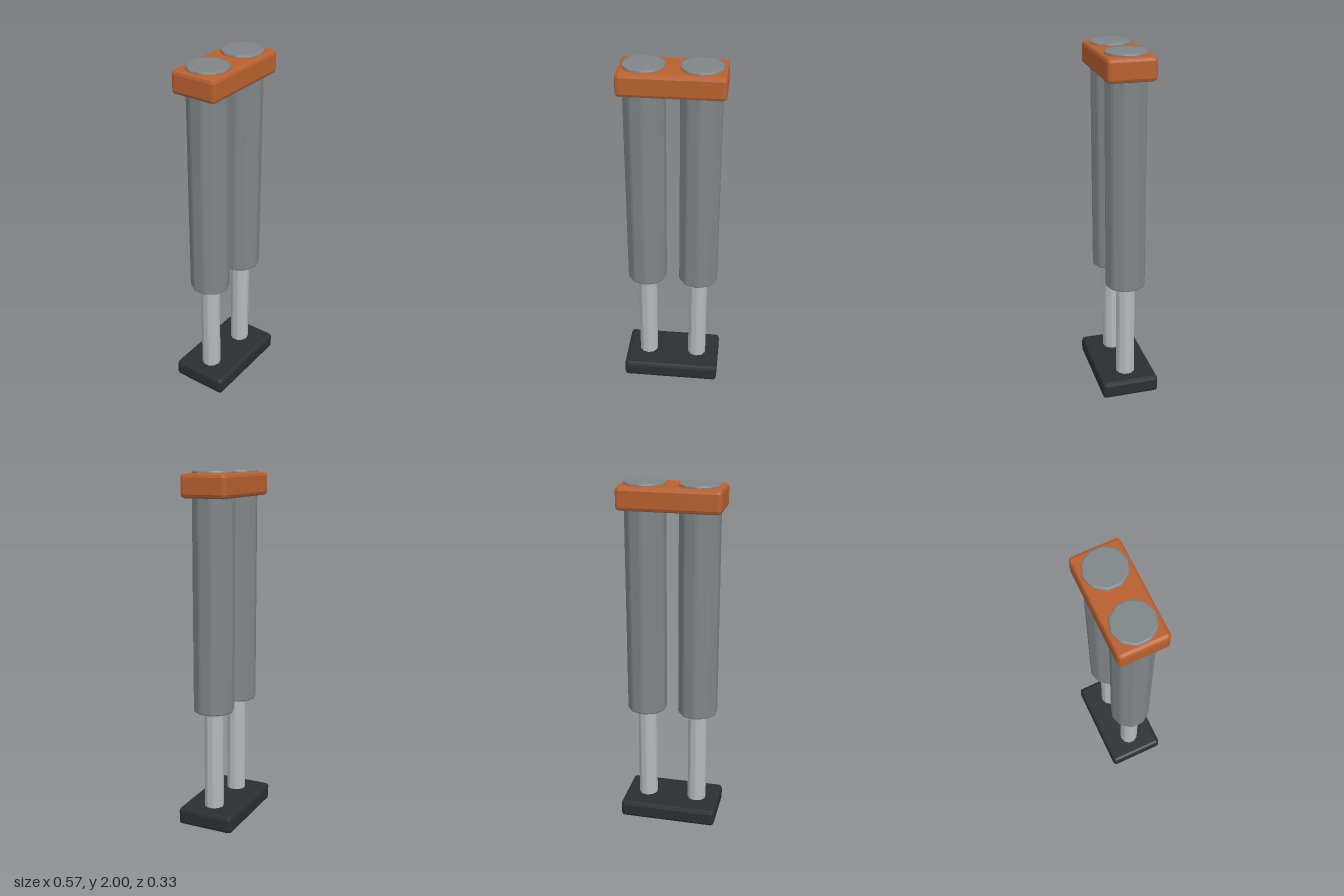
import * as THREE from 'three';
import { RoundedBoxGeometry } from 'three/addons/geometries/RoundedBoxGeometry.js';

const material = (color) => {
  const m = new THREE.MeshStandardMaterial({ color });
  m.flatShading = true;
  return m;
};

// Ten-sided post with chamfered vertical edges and rounded rims
function post(name, radius, bottom, top, chamfer, rim, mat) {
  const sides = 10;
  const corners = [];
  for (let i = 0; i < sides; i++) {
    const a = Math.PI / 2 + (i / sides) * Math.PI * 2;
    corners.push(new THREE.Vector2(Math.cos(a), Math.sin(a)).multiplyScalar(radius));
  }
  const points = corners.flatMap((c, i) => {
    const previous = corners[(i + sides - 1) % sides];
    const next = corners[(i + 1) % sides];
    const t = chamfer / c.distanceTo(next);
    return [c.clone().lerp(previous, t), c.clone().lerp(next, t)];
  });
  const geometry = new THREE.ExtrudeGeometry(new THREE.Shape(points), {
    depth: top - bottom - 2 * rim,
    bevelThickness: rim,
    bevelSize: rim,
    bevelOffset: -rim,
    bevelSegments: 2,
  });
  geometry.rotateX(-Math.PI / 2).translate(0, bottom + rim, 0);
  const mesh = new THREE.Mesh(geometry, mat);
  mesh.name = name;
  return mesh;
}

// Block with softly bevelled edges, placed by its bottom and top heights
function block(name, width, depth, bottom, top, mat) {
  const mesh = new THREE.Mesh(new RoundedBoxGeometry(width, top - bottom, depth, 1, 0.02), mat);
  mesh.position.y = (bottom + top) / 2;
  mesh.name = name;
  return mesh;
}

export function createModel() {
  const model = new THREE.Group();
  model.name = 'twinPiston';
  const tubeMat = material(0x808588);
  const rodMat = material(0xb6babc);

  // Foot plate and the bracket that joins both cylinders
  model.add(block('footPlate', 0.566, 0.332, 0.004, 0.103, material(0x2b2f32)));
  model.add(block('topBracket', 0.566, 0.266, 1.857, 1.984, material(0xb9602f)));

  // Mirrored pistons: the rod slides inside the outer cylinder
  for (const [side, x] of [['left', 0.15], ['right', -0.15]]) {
    const piston = new THREE.Group();
    piston.name = `${side}Piston`;
    piston.add(post('cylinder', 0.116, 0.675, 2, 0.008, 0.01, tubeMat));
    piston.add(post('rod', 0.056, 0, 0.9, 0.004, 0.008, rodMat));
    piston.position.x = x;
    model.add(piston);
  }
  return model;
}
